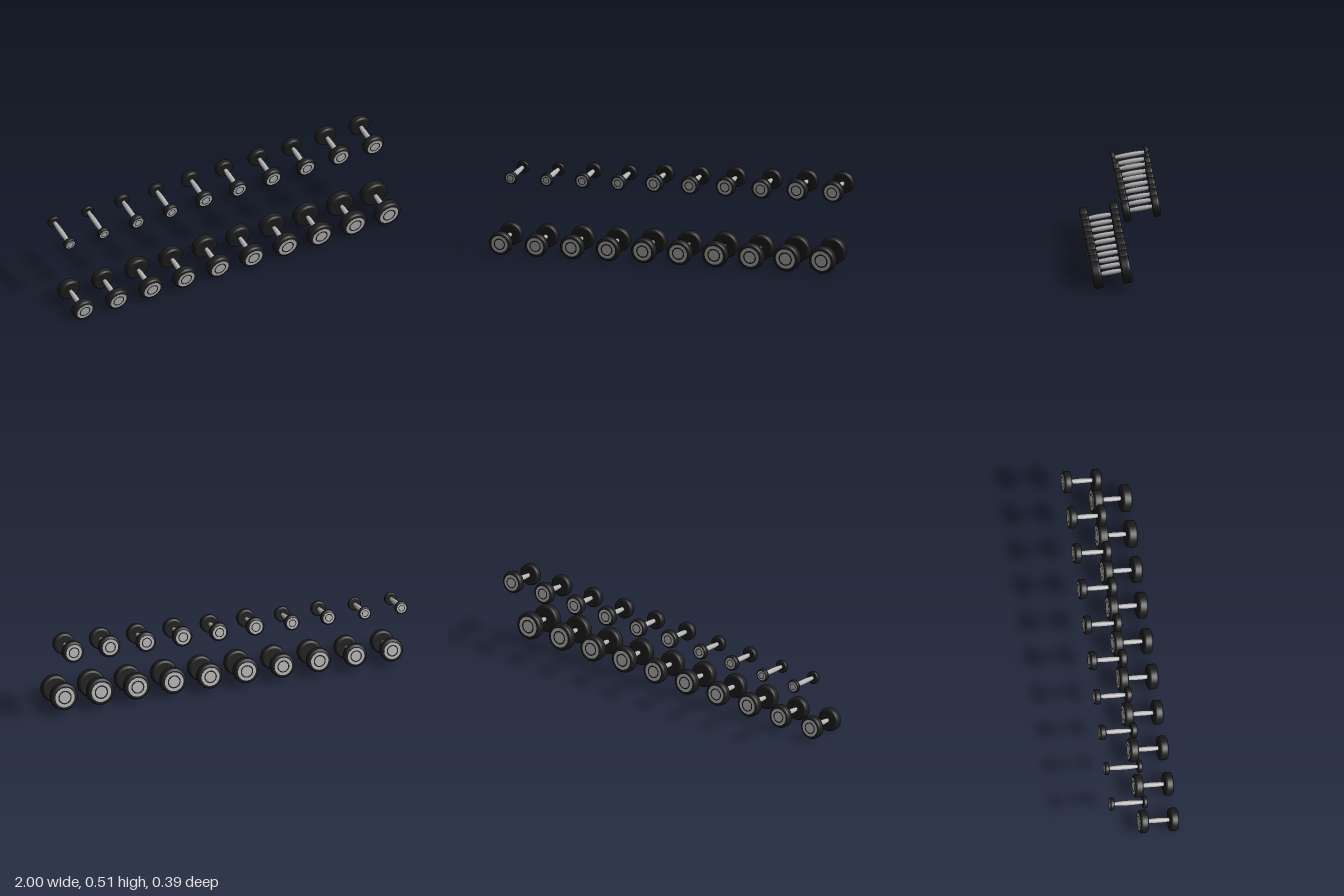
import * as THREE from 'three';

const black = new THREE.MeshStandardMaterial({ color: 0x1d1d1d });
black.name = 'black rubber';
const silver = new THREE.MeshStandardMaterial({ color: 0xb4b4b4 });
silver.name = 'brushed steel';

const TILT = THREE.MathUtils.degToRad(10);
const COUNT = 10;

// Turned part whose axis runs along z
function turned(points, segments) {
  const profile = points.map(([r, h]) => new THREE.Vector2(r, h));
  return new THREE.LatheGeometry(profile, segments).rotateX(Math.PI / 2);
}

function addMesh(parent, name, geometry, material, z = 0) {
  const mesh = new THREE.Mesh(geometry, material);
  mesh.name = name;
  mesh.position.z = z;
  parent.add(mesh);
  return mesh;
}

// Rubber head with rounded rims; the outer face looks along +z
function headGeometry(radius, thickness) {
  const h = thickness / 2;
  const b = Math.min(0.012, thickness * 0.28);
  const points = [[0, -h], [radius - b, -h]];
  for (const side of [-1, 1]) {
    for (let i = 0; i <= 4; i++) {
      const a = (side < 0 ? i - 4 : i) * Math.PI / 8;
      points.push([radius - b + b * Math.cos(a), side * (h - b) + b * Math.sin(a)]);
    }
  }
  points.push([radius - b, h], [0, h]);
  return turned(points, 40);
}

function createHead(radius, thickness) {
  const head = new THREE.Group();
  head.name = 'head';
  const face = thickness / 2;
  addMesh(head, 'rubberHead', headGeometry(radius, thickness), black);
  // Steel end plate with a dark inlaid ring
  const plate = new THREE.CylinderGeometry(radius * 0.74, radius * 0.74, 0.002, 40);
  addMesh(head, 'endPlate', plate.rotateX(Math.PI / 2), silver, face);
  addMesh(head, 'plateRing', new THREE.RingGeometry(radius * 0.41, radius * 0.51, 40), black, face + 0.0016);
  return head;
}

function createDumbbell(radius, thickness, length) {
  const dumbbell = new THREE.Group();
  dumbbell.name = 'dumbbell';
  // Grip swells gently in the middle
  const g = length / 2 - thickness * 0.7;
  const grip = turned([
    [0.0115, -g], [0.0115, -g * 0.82], [0.0135, -g * 0.6], [0.015, -g * 0.25],
    [0.015, g * 0.25], [0.0135, g * 0.6], [0.0115, g * 0.82], [0.0115, g],
  ], 24);
  addMesh(dumbbell, 'grip', grip, silver);
  for (const side of [1, -1]) {
    const head = createHead(radius, thickness);
    head.position.z = side * (length - thickness) / 2;
    if (side < 0) head.rotation.y = Math.PI;
    dumbbell.add(head);
  }
  return dumbbell;
}

// Each row holds pairs of growing size, all resting on one sloping plane
const ROWS = [
  {
    name: 'lowerRow', y: 0.0918, z: 0.0765,
    radii: [0.0635, 0.0665, 0.0690, 0.0718, 0.0745],
    thickness: [0.045, 0.047, 0.049, 0.050, 0.052],
    length: 0.212,
  },
  {
    name: 'upperRow', y: 0.441, z: -0.084,
    radii: [0.0355, 0.042, 0.0505, 0.055, 0.0595],
    thickness: [0.022, 0.032, 0.038, 0.040, 0.042],
    length: 0.205,
  },
];

export function createModel() {
  const model = new THREE.Group();
  model.name = 'dumbbellSet';
  for (const row of ROWS) {
    const group = new THREE.Group();
    group.name = row.name;
    const largest = row.radii[row.radii.length - 1];
    for (let i = 0; i < COUNT; i++) {
      const pair = Math.floor(i / 2);
      const radius = row.radii[pair];
      const drop = largest - radius;
      const dumbbell = createDumbbell(radius, row.thickness[pair], row.length);
      dumbbell.rotation.x = TILT;
      dumbbell.position.set(
        -0.937 + 0.2068 * i,
        row.y - drop * Math.cos(TILT),
        row.z - drop * Math.sin(TILT),
      );
      group.add(dumbbell);
    }
    model.add(group);
  }
  return model;
}
